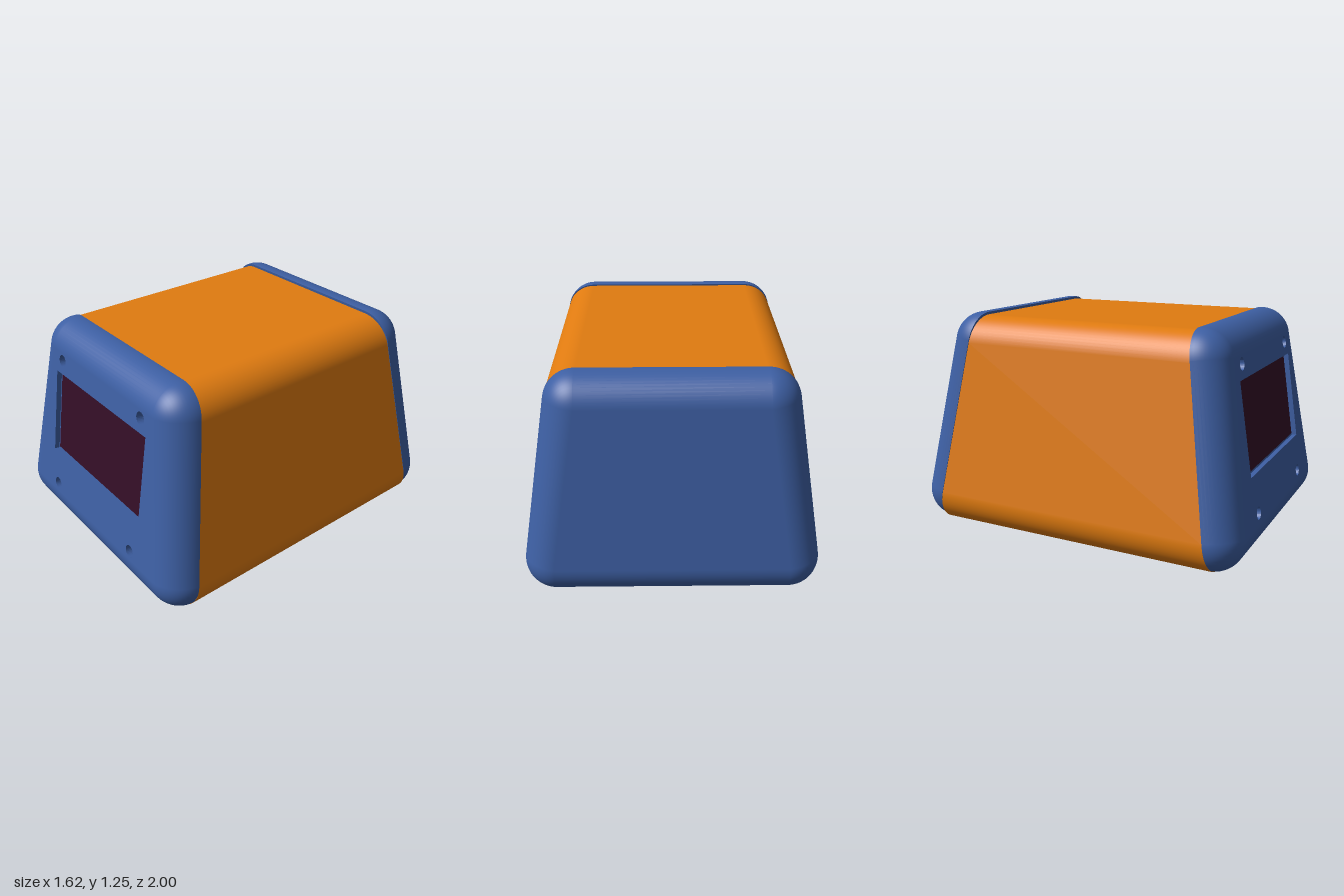
import * as THREE from 'three';

const R = 0.174;                       // edge rounding radius
const TILT = Math.atan(0.156);         // lean of the end panels
const HEIGHT = 0.907;                  // distance between corner centres on a panel
const endZ = (y) => 0.853 - 0.156 * y; // plane where body and panels meet

// Rounded trapezoid: corner centres with outward directions, anticlockwise
function outline(xBottom, xTop, y0, y1, n = 14) {
  const a = Math.atan2(xBottom - xTop, y1 - y0), h = Math.PI / 2;
  const corners = [
    [xBottom, y0, -h, a], [xTop, y1, a, h],
    [-xTop, y1, h, Math.PI - a], [-xBottom, y0, Math.PI - a, 3 * h],
  ];
  const pts = [];
  for (const [cx, cy, from, to] of corners) {
    for (let i = 0; i <= n; i++) {
      const t = from + (to - from) * i / n;
      pts.push({ cx, cy, nx: Math.cos(t), ny: Math.sin(t) });
    }
  }
  return pts;
}

const at = (p, r) => new THREE.Vector2(p.cx + p.nx * r, p.cy + p.ny * r);

// Skin closed rings of [x, y, z, nx, ny, nz]
function skin(rings) {
  const pos = [], nor = [], index = [], n = rings[0].length;
  for (const ring of rings) {
    for (const v of ring) { pos.push(...v.slice(0, 3)); nor.push(...v.slice(3)); }
  }
  for (let j = 0; j < rings.length - 1; j++) {
    for (let i = 0; i < n; i++) {
      const a = j * n + i, b = j * n + (i + 1) % n;
      index.push(a, b, b + n, a, b + n, a + n);
    }
  }
  const g = new THREE.BufferGeometry();
  g.setAttribute('position', new THREE.Float32BufferAttribute(pos, 3));
  g.setAttribute('normal', new THREE.Float32BufferAttribute(nor, 3));
  g.setIndex(index);
  return g;
}

// Inward facing wall of a recess
function recessWall(points, top, floor) {
  const g = skin([top, floor].map((z) => points.map((p) => [p.x, p.y, z, 0, 0, 1]))).toNonIndexed();
  g.computeVertexNormals();
  return g;
}

const rectangle = (x, y0, y1) =>
  [[-x, y0], [x, y0], [x, y1], [-x, y1]].map(([a, b]) => new THREE.Vector2(a, b));

function circle(cx, cy, r, n = 28) {
  return Array.from({ length: n }, (_, i) => {
    const t = i / n * Math.PI * 2;
    return new THREE.Vector2(cx + r * Math.cos(t), cy + r * Math.sin(t));
  });
}

export function createModel() {
  const blue = new THREE.MeshStandardMaterial({ color: 0x3d5fa3 });
  blue.name = 'panel blue';
  const orange = new THREE.MeshStandardMaterial({ color: 0xe07b10 });
  orange.name = 'body orange';
  const maroon = new THREE.MeshStandardMaterial({ color: 0x330e26 });
  maroon.name = 'screen maroon';

  const model = new THREE.Group();
  model.name = 'enclosure';
  const add = (parent, name, geometry, material, z = 0) => {
    const mesh = new THREE.Mesh(geometry, material);
    mesh.name = name;
    mesh.position.z = z;
    parent.add(mesh);
    return mesh;
  };

  // Body: rounded trapezoid sleeve trimmed by the leaning end planes
  const section = outline(0.636, 0.496, R, 1.235 - R);
  add(model, 'body', skin([-1, 1].map((s) => section.map((p) => {
    const q = at(p, R);
    return [q.x, q.y, s * endZ(q.y), p.nx, p.ny, 0];
  }))), orange);
  for (const turn of [0, Math.PI]) {
    const end = new THREE.ShapeGeometry(new THREE.Shape(section.map((p) => at(p, R))));
    const pos = end.attributes.position;
    for (let i = 0; i < pos.count; i++) pos.setZ(i, endZ(pos.getY(i)));
    end.computeVertexNormals();
    add(model, 'bodyEnd', end, orange).rotation.y = turn;
  }

  // End panel: quarter-round rim, flat face with optional holes, flat inner side
  const rim = outline(0.636, 0.496, 0, HEIGHT);
  function endPanel(name, lift, holes) {
    const panel = new THREE.Group();
    panel.name = name;
    panel.position.set(0, 0.175 + lift, endZ(0.175));
    panel.rotation.x = -TILT;

    const rings = [];
    for (let j = 0; j <= 14; j++) {
      const c = j === 14 ? 0 : Math.cos(j / 14 * Math.PI / 2), s = Math.sin(j / 14 * Math.PI / 2);
      rings.push(rim.map((p) => {
        const q = at(p, R * c);
        return [q.x, q.y, R * s, p.nx * c, p.ny * c, s];
      }));
    }
    add(panel, 'panelRim', skin(rings), blue);

    const face = new THREE.Shape([[-0.636, 0], [0.636, 0], [0.496, HEIGHT], [-0.496, HEIGHT]]
      .map(([x, y]) => new THREE.Vector2(x, y)));
    face.holes = holes.map((h) => new THREE.Path(h));
    add(panel, 'panelFace', new THREE.ShapeGeometry(face), blue, R);

    const inner = new THREE.ShapeGeometry(new THREE.Shape(rim.map((p) => at(p, R))));
    add(panel, 'panelInside', inner, blue).rotation.y = Math.PI;
    return panel;
  }

  // Front panel with screen recess and four screw holes
  const opening = rectangle(0.458, 0.266, 0.782);
  const screws = [];
  for (const x of [-0.4, 0.4]) for (const y of [0.053, 0.863]) screws.push(circle(x, y, 0.035));
  const front = endPanel('frontPanel', 0, [opening, ...screws]);
  const screenFloor = R - 0.03;
  add(front, 'screenRecess', recessWall(opening, R, screenFloor), blue);
  add(front, 'screenFrame', new THREE.ShapeGeometry(new THREE.Shape(opening)), blue, screenFloor);
  add(front, 'screen', new THREE.ShapeGeometry(
    new THREE.Shape(rectangle(0.444, 0.28, 0.776))), maroon, screenFloor + 0.004);
  for (const s of screws) {
    add(front, 'screwHole', recessWall(s, R, 0.01), blue);
    add(front, 'screwHoleFloor', new THREE.ShapeGeometry(new THREE.Shape(s)), blue, 0.01);
  }
  model.add(front);

  // Plain back panel
  const back = new THREE.Group();
  back.name = 'back';
  back.rotation.y = Math.PI;
  back.add(endPanel('backPanel', 0.007, []));
  model.add(back);

  return model;
}
